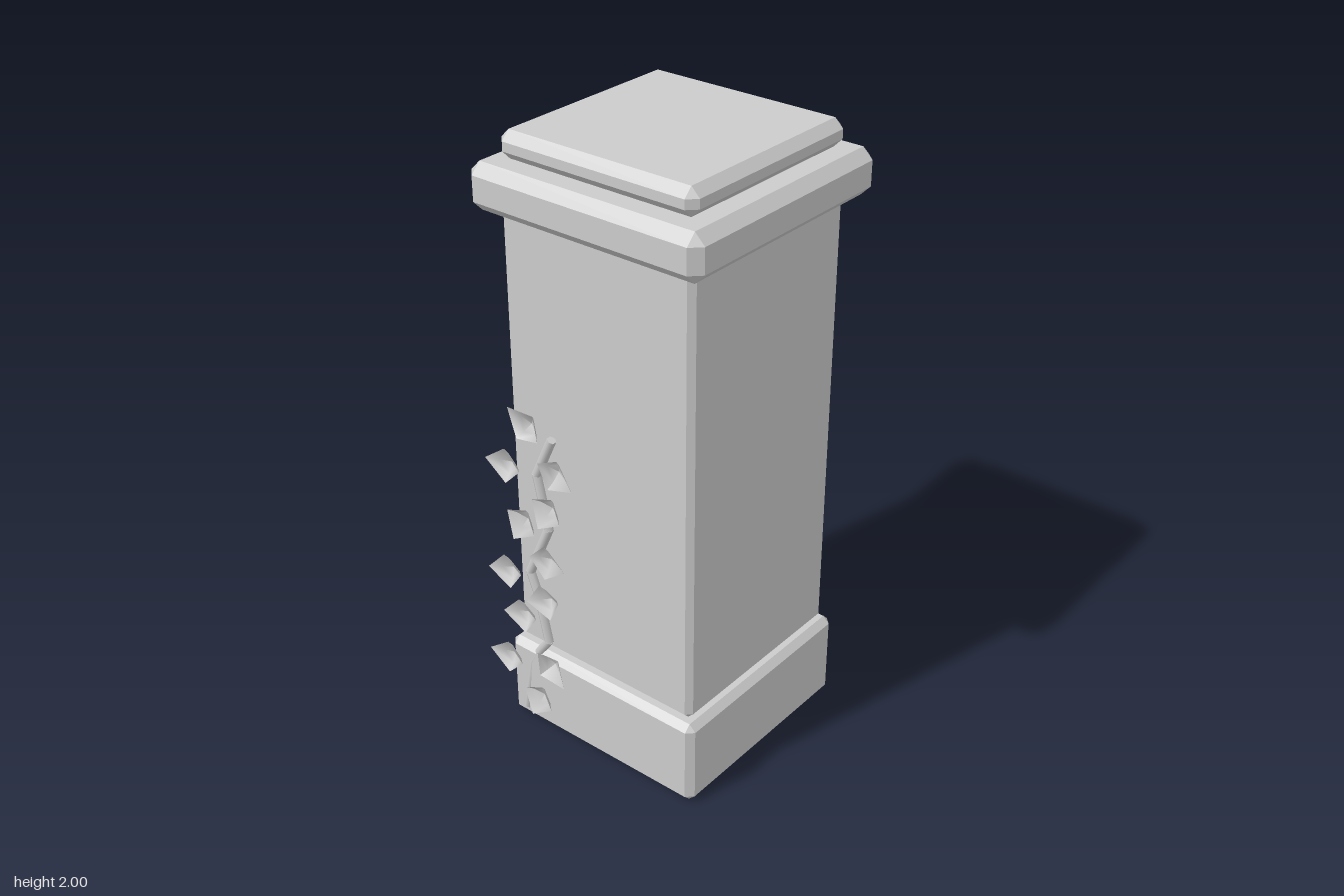
import * as THREE from 'three';

const stone = new THREE.MeshStandardMaterial({ color: 0xcccccc, side: THREE.DoubleSide });

// Square block with all edges chamfered; the underside can be left open.
function chamferedBlock(name, half, y0, y1, c, openBottom = false) {
  const ring = (h, k, y) => {
    const pts = [];
    for (let j = 0; j < 4; j++) {
      for (let [x, z] of [[h, h - k], [h - k, h]]) {
        for (let r = 0; r < j; r++) [x, z] = [-z, x];
        pts.push([x, y, z]);
      }
    }
    return pts;
  };
  const rings = [
    ring(half - c, 0, y0), ring(half, c, y0 + c),
    ring(half, c, y1 - c), ring(half - c, 0, y1),
  ];
  const pos = [];
  const tri = (...corners) => corners.forEach((p) => pos.push(...p));
  for (let i = 0; i < 8; i++) {
    const n = (i + 1) % 8;
    for (let r = 0; r < 3; r++) {
      const lo = rings[r], up = rings[r + 1];
      tri(lo[i], up[i], up[n]);
      tri(lo[i], up[n], lo[n]);
    }
    tri([0, y1, 0], rings[3][n], rings[3][i]);
    if (!openBottom) tri([0, y0, 0], rings[0][i], rings[0][n]);
  }
  const geo = new THREE.BufferGeometry();
  geo.setAttribute('position', new THREE.Float32BufferAttribute(pos, 3));
  geo.computeVertexNormals();
  const mesh = new THREE.Mesh(geo, stone);
  mesh.name = name;
  return mesh;
}

// Straight stem piece between two points.
function stemPiece(a, b, radius) {
  const dir = b.clone().sub(a);
  const mesh = new THREE.Mesh(new THREE.CylinderGeometry(radius, radius, dir.length() + 0.008, 6), stone);
  mesh.position.copy(a).add(b).multiplyScalar(0.5);
  mesh.quaternion.setFromUnitVectors(new THREE.Vector3(0, 1, 0), dir.normalize());
  mesh.name = 'stemPiece';
  return mesh;
}

// Four-cornered cupped leaf, hollow towards the front, with one longer tip along +x.
function leafGeometry() {
  const profile = [[0, 0], [0.036, 0.013], [0.06, 0.032]].map(([r, y]) => new THREE.Vector2(r, y));
  const geo = new THREE.LatheGeometry(profile, 4);
  geo.rotateX(Math.PI / 2);
  const p = geo.attributes.position;
  for (let i = 0; i < p.count; i++) {
    if (p.getX(i) > 0.05) p.setX(i, p.getX(i) * 1.35);
  }
  geo.computeVertexNormals();
  return geo;
}

export function createModel() {
  const model = new THREE.Group();
  model.name = 'pillarWithVine';

  // Stone pillar
  const pillar = new THREE.Group();
  pillar.name = 'pillar';
  pillar.position.x = 0.012;
  pillar.add(
    chamferedBlock('base', 0.371, 0, 0.295, 0.022, true),
    chamferedBlock('shaft', 0.344, 0.298, 1.768, 0.018),
    chamferedBlock('capital', 0.409, 1.768, 1.912, 0.033),
    chamferedBlock('topSlab', 0.345, 1.915, 2, 0.028),
  );
  model.add(pillar);

  // Vine climbing the front face
  const vine = new THREE.Group();
  vine.name = 'vine';
  const path = [
    [-0.3, 0.04, 0.364], [-0.27, 0.23, 0.358], [-0.235, 0.29, 0.356], [-0.2, 0.34, 0.357],
    [-0.235, 0.5, 0.357], [-0.265, 0.58, 0.357], [-0.18, 0.77, 0.357],
    [-0.22, 0.95, 0.357], [-0.155, 1.09, 0.357],
  ].map((p) => new THREE.Vector3(...p));
  for (let i = 0; i < path.length - 1; i++) vine.add(stemPiece(path[i], path[i + 1], 0.015));

  // Leaves: x, y, direction of the tip in degrees
  const leaves = [
    [-0.215, 1.135, 145], [-0.305, 0.97, 180], [-0.113, 1.01, -20], [-0.145, 0.87, 245],
    [-0.25, 0.79, 245], [-0.16, 0.68, 0], [-0.32, 0.58, 190], [-0.165, 0.53, 200],
    [-0.265, 0.435, 190], [-0.16, 0.28, -40], [-0.335, 0.24, 180], [-0.213, 0.13, 250],
  ];
  const leafGeo = leafGeometry();
  leaves.forEach(([x, y, deg]) => {
    const leaf = new THREE.Mesh(leafGeo, stone);
    leaf.name = 'leaf';
    leaf.position.set(x, y, 0.373);
    leaf.rotation.z = THREE.MathUtils.degToRad(deg);
    vine.add(leaf);
  });
  model.add(vine);
  return model;
}
